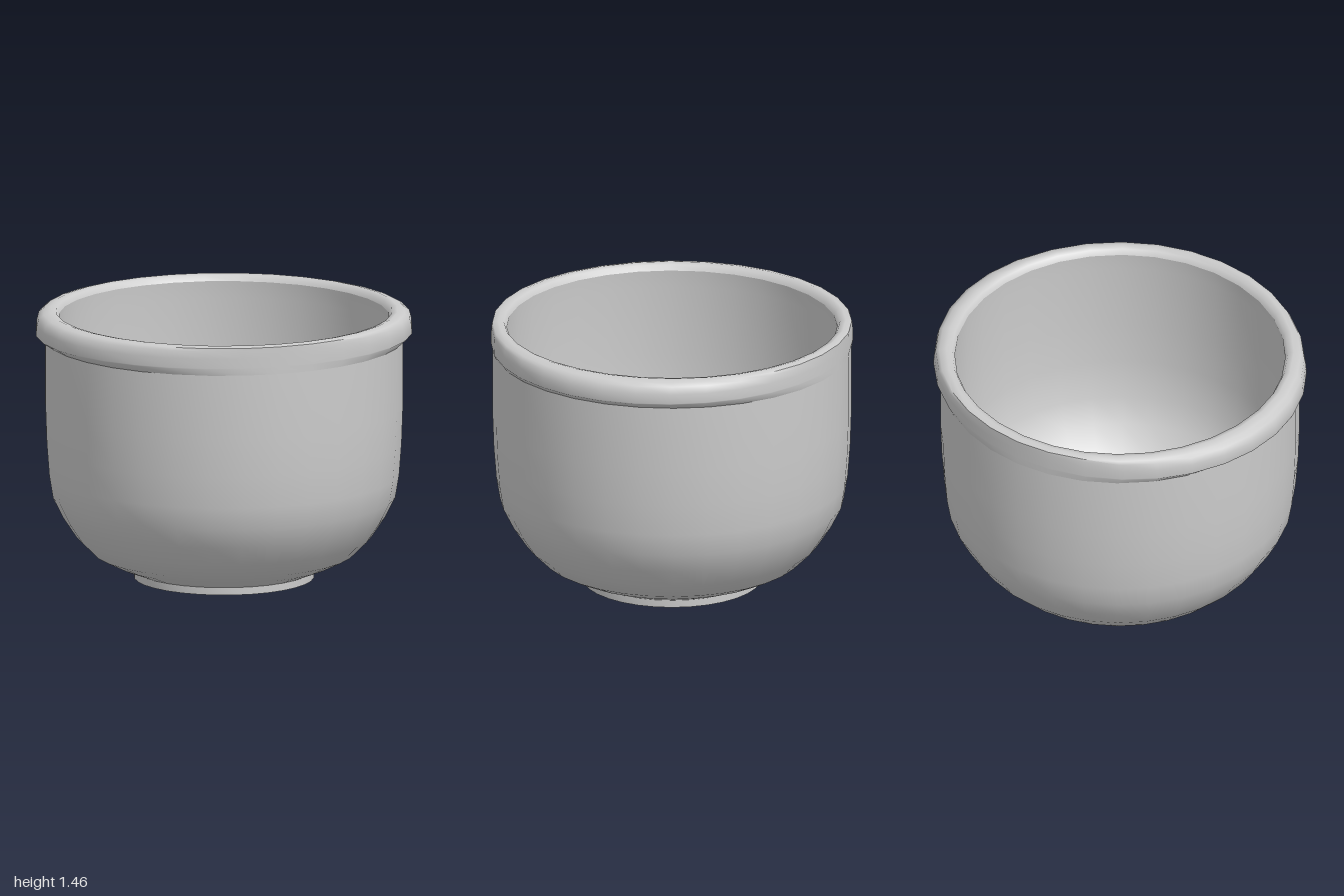
import * as THREE from 'three';
import { toCreasedNormals } from 'three/addons/utils/BufferGeometryUtils.js';

const SIDES = 32;
const BODY_R = 0.945;

// Revolves a [radius, height] profile; anything wider than the body becomes
// an ellipse, so the lip overhangs at the sides and is flush front and back.
function turned(name, profile, material) {
  const points = profile.map(([r, y]) => new THREE.Vector2(r, y));
  const geometry = new THREE.LatheGeometry(points, SIDES);
  const pos = geometry.attributes.position;
  for (let i = 0; i < pos.count; i++) {
    const r = Math.hypot(pos.getX(i), pos.getZ(i));
    if (r > BODY_R) pos.setZ(i, pos.getZ(i) * BODY_R / r);
  }
  const mesh = new THREE.Mesh(toCreasedNormals(geometry, 0.9), material);
  mesh.name = name;
  return mesh;
}

export function createModel() {
  const group = new THREE.Group();
  group.name = 'plantPot';
  const material = new THREE.MeshStandardMaterial({ color: 0xcccccc, side: THREE.DoubleSide });

  // Foot disc with the drain hole through it
  group.add(turned('foot', [
    [0.095, 0.045], [0.095, 0.01], [0.15, 0.003], [0.3, 0], [0.475, 0.018], [0.475, 0.058],
  ], material));

  // Rounded outer wall
  group.add(turned('outerWall', [
    [0.475, 0.058], [0.59, 0.105], [0.69, 0.155], [0.78, 0.245], [0.85, 0.35], [0.905, 0.46],
    [0.925, 0.58], [0.938, 0.75], [BODY_R, 0.95], [BODY_R, 1.3],
  ], material));

  // Lip, wider at the left and right
  group.add(turned('rim', [
    [BODY_R, 1.3], [0.998, 1.335], [1, 1.34], [0.995, 1.39], [0.983, 1.43], [0.955, 1.446],
    [0.915, 1.455], [0.885, 1.448], [0.87, 1.42],
  ], material));

  // Inner wall and floor, sinking slightly towards the drain hole
  group.add(turned('innerWall', [
    [0.87, 1.42], [0.875, 1.33], [0.875, 0.95], [0.865, 0.72], [0.84, 0.5], [0.78, 0.37],
    [0.69, 0.25], [0.56, 0.15], [0.42, 0.095], [0.25, 0.075], [0.15, 0.062], [0.095, 0.045],
  ], material));

  return group;
}
